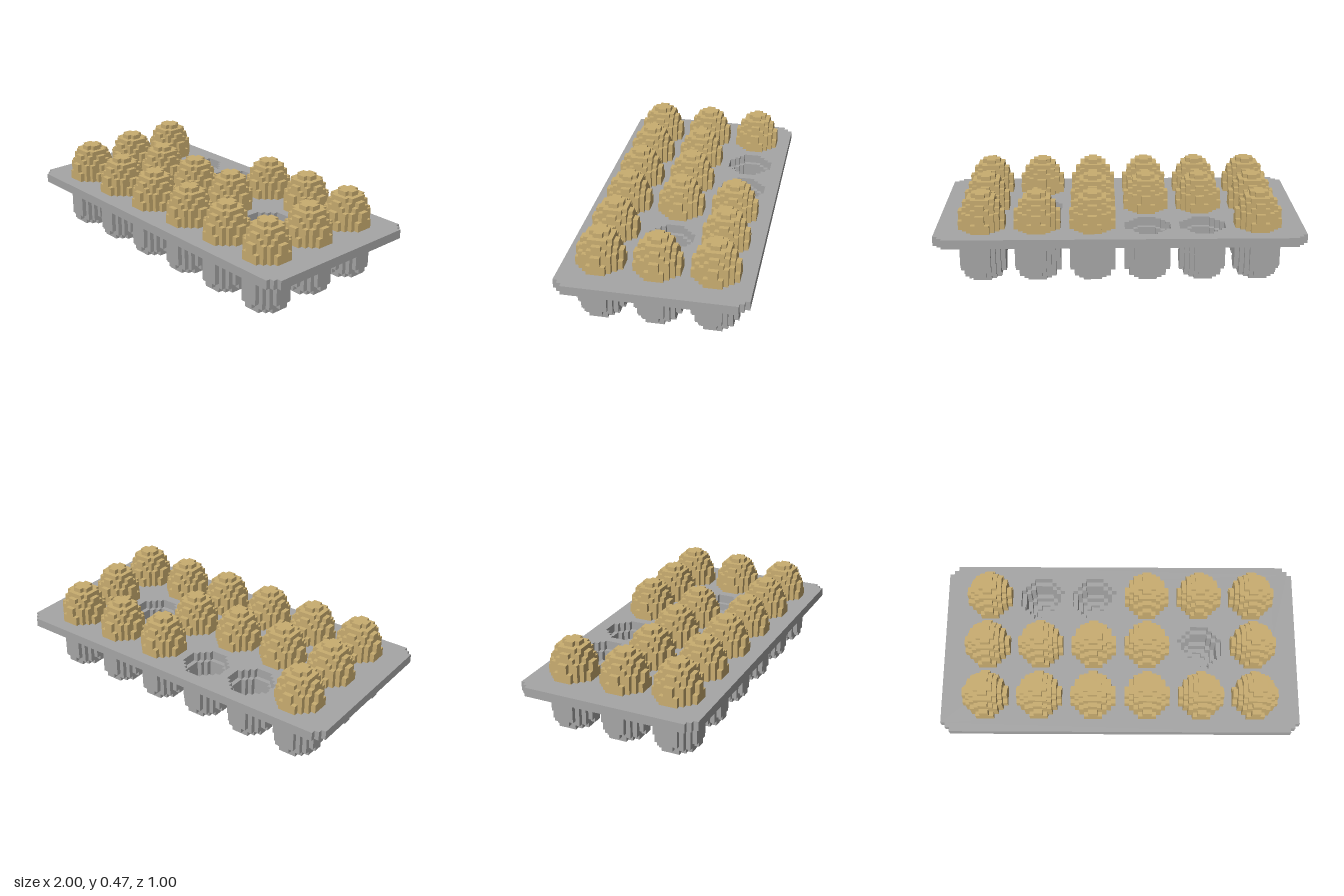
import * as THREE from 'three';
import { mergeGeometries } from 'three/addons/utils/BufferGeometryUtils.js';

const U = 0.025; // edge of one voxel

// Stepped outline of a disc of voxels whose centres lie within sqrt(r2) of the middle
function disc(r2) {
  const widths = [];
  for (let j = 0; j < 5; j++) {
    let w = 0;
    while ((w + 0.5) ** 2 + (j + 0.5) ** 2 < r2) w++;
    if (w > 0) widths.push(w);
  }
  const q = [];
  widths.forEach((w, j) => {
    if (j > 0 && w !== widths[j - 1]) q.push([w, j]);
    if (w !== widths[j + 1]) q.push([w, j + 1]);
  });
  const r = [...q].reverse();
  return [
    ...q,
    ...r.map(([x, y]) => [-x, y]),
    ...q.map(([x, y]) => [-x, -y]),
    ...r.map(([x, y]) => [x, -y]),
  ].map(([x, y]) => new THREE.Vector2(x * U, y * U));
}

// Horizontal slab between two heights given in voxels
function slab(outline, y0, y1, holes = []) {
  const shape = new THREE.Shape(outline);
  holes.forEach((h) => shape.holes.push(new THREE.Path(h)));
  const g = new THREE.ExtrudeGeometry(shape, { depth: (y1 - y0) * U, bevelEnabled: false });
  return g.rotateX(-Math.PI / 2).translate(0, y0 * U, 0);
}

export function createModel() {
  const model = new THREE.Group();
  model.name = 'eggTray';
  const grey = new THREE.MeshStandardMaterial({ color: 0xa6a6a6 });
  grey.name = 'cardboard grey';
  const tan = new THREE.MeshStandardMaterial({ color: 0xc9ad70 });
  tan.name = 'egg tan';

  const spots = [];
  for (const z of [-0.3, 0, 0.3]) {
    for (const x of [-0.75, -0.45, -0.15, 0.15, 0.45, 0.75]) spots.push([x, z]);
  }
  const empty = ['-0.45,-0.3', '-0.15,-0.3', '0.45,0'];

  // Tray plate with stepped corners and a round opening over every cup
  const corner = [[1, 0.45], [0.975, 0.45], [0.975, 0.475], [0.95, 0.475], [0.95, 0.5]];
  const back = [...corner].reverse();
  const rim = [
    ...corner,
    ...back.map(([x, y]) => [-x, y]),
    ...corner.map(([x, y]) => [-x, -y]),
    ...back.map(([x, y]) => [x, -y]),
  ].map(([x, y]) => new THREE.Vector2(x, y));
  const openings = spots.map(([x, z]) =>
    disc(24).map((p) => new THREE.Vector2(p.x + x, p.y - z)));
  const plate = new THREE.Mesh(slab(rim, 9, 11, openings), grey);
  plate.name = 'trayPlate';
  model.add(plate);

  // Cup: [bottom, top, outer radius squared, inner radius squared]
  const cupGeometry = mergeGeometries([
    [0, 1, 17, 0],
    [1, 2, 21, 3],
    [2, 4, 24, 9],
    [4, 9, 24, 17],
  ].map(([y0, y1, outer, inner]) =>
    slab(disc(outer), y0, y1, inner ? [disc(inner)] : [])));

  // Egg: [bottom, top, radius squared]
  const eggGeometry = mergeGeometries([
    [1, 2, 3],
    [2, 4, 9],
    [4, 9, 17],
    [9, 13, 24],
    [13, 15, 21],
    [15, 16, 17],
    [16, 17, 13.5],
    [17, 18, 9],
    [18, 19, 3],
  ].map(([y0, y1, r2]) => slab(disc(r2), y0, y1)));

  // One cup per spot, and an egg in all but the empty ones
  for (const [x, z] of spots) {
    const cup = new THREE.Mesh(cupGeometry, grey);
    cup.name = 'cup';
    cup.position.set(x, 0, z);
    model.add(cup);
    if (empty.includes(`${x},${z}`)) continue;
    const egg = new THREE.Mesh(eggGeometry, tan);
    egg.name = 'egg';
    egg.position.set(x, 0, z);
    model.add(egg);
  }
  return model;
}
